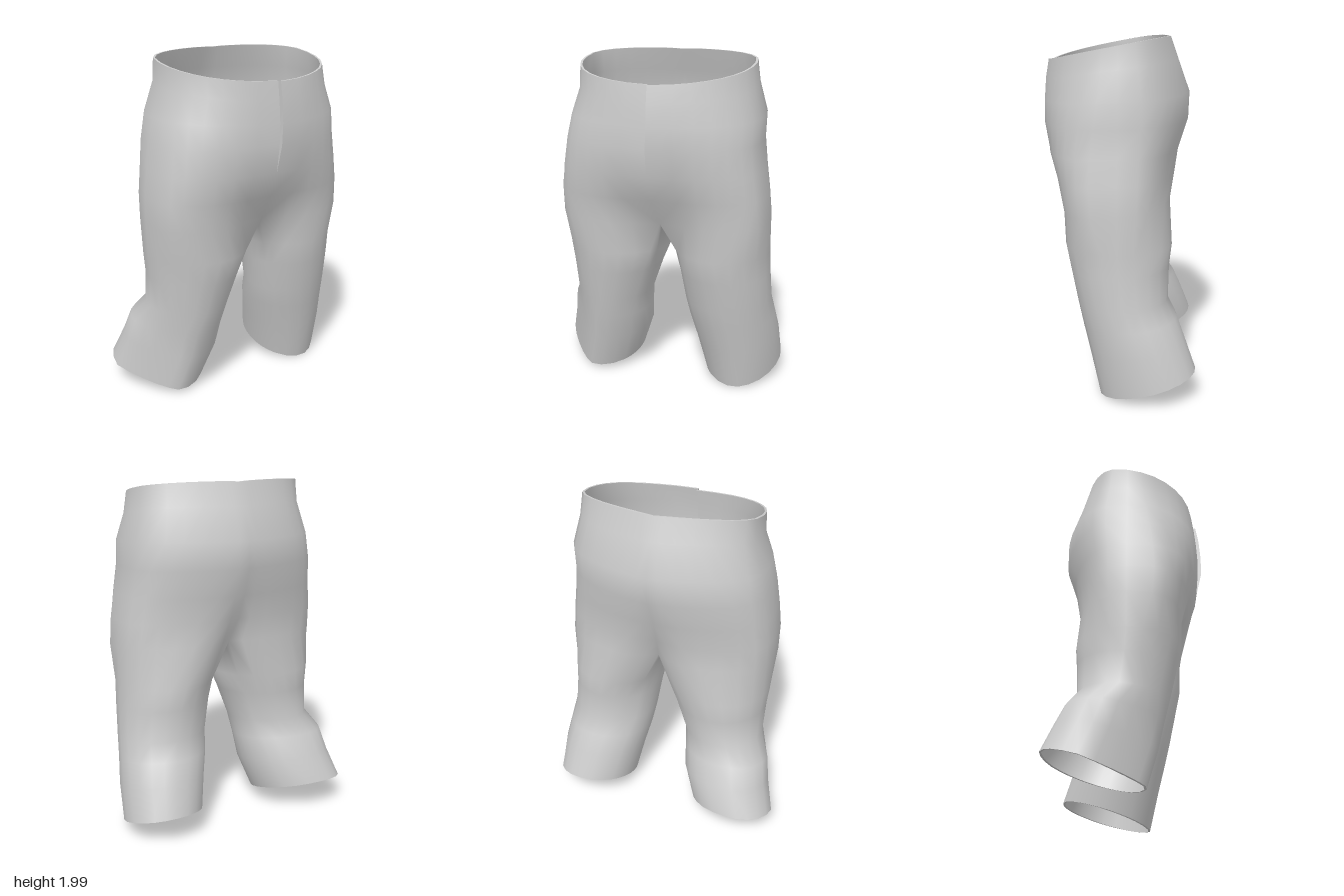
import * as THREE from 'three';
import { mergeVertices } from 'three/addons/utils/BufferGeometryUtils.js';

const M = 16; // columns around the outside of each half
const K = 8; // columns along the inner leg
const material = new THREE.MeshStandardMaterial({ color: 0xcccccc, side: THREE.DoubleSide });

// Hip rows: y front, y back, outer x right, outer x left, z front, z back,
// centre x, front valley, back valley, front roundness, fly height
const hipRows = [
  [1.865, 1.99, -0.49, 0.53, 0.39, -0.29, 0.02, 0, 0, 0.95, 0.025],
  [1.76, 1.86, -0.49, 0.545, 0.405, -0.335, 0.02, 0, 0, 0.92, 0.028],
  [1.64, 1.68, -0.54, 0.59, 0.415, -0.40, 0.02, 0, 0, 0.82, 0.027],
  [1.52, 1.53, -0.565, 0.585, 0.42, -0.40, 0.015, 0, 0.005, 0.72, 0.022],
  [1.36, 1.37, -0.585, 0.605, 0.405, -0.355, 0.01, 0, 0.02, 0.62, 0],
  [1.21, 1.23, -0.60, 0.625, 0.365, -0.34, 0.015, 0.03, 0.06, 0.53, 0],
  [1.04, 1.09, -0.60, 0.64, 0.33, -0.325, 0.035, 0.10, 0.12, 0.52, 0],
];

// Leg rows: y front, y back, outer x, inner x, z front, z back, inner wrap angle,
// backward skew of the outside, pinch of the outer front corner
const legRows = {
  right: [
    [0.86, 0.86, -0.59, 0.03, 0.295, -0.30, 0.9, 0, 0],
    [0.72, 0.74, -0.575, -0.025, 0.265, -0.29, 0.88, 0, 0],
    [0.53, 0.56, -0.57, -0.09, 0.225, -0.28, 0.85, 0.01, 0.05],
    [0.40, 0.46, -0.635, -0.105, 0.195, -0.33, 0.8, 0.05, 0.25],
    [0.24, 0.34, -0.66, -0.12, 0.16, -0.385, 0.78, 0.05, 0.32],
    [0.02, 0.18, -0.71, -0.19, 0.10, -0.44, 0.78, 0.06, 0.4],
  ],
  left: [
    [0.86, 0.86, 0.64, 0.075, 0.295, -0.30, 0.9, 0, 0],
    [0.72, 0.74, 0.645, 0.105, 0.265, -0.285, 0.88, 0, 0],
    [0.53, 0.56, 0.655, 0.135, 0.225, -0.28, 0.85, 0.01, 0],
    [0.40, 0.46, 0.67, 0.155, 0.195, -0.33, 0.8, 0.02, 0],
    [0.24, 0.34, 0.69, 0.19, 0.155, -0.375, 0.78, 0.03, 0],
    [0.00, 0.17, 0.70, 0.235, 0.10, -0.435, 0.78, 0.04, 0.05],
  ],
};

// Point on the hips: j = 0 is the front centre, j = M the back centre
function hipPoint(row, side, j) {
  const [yF, yB, xR, xL, zF, zB, x0, vF, vB, round, fly] = row;
  const t = (Math.PI * j) / M;
  const c = Math.cos(t), s = Math.max(0, Math.sin(t));
  const xo = side > 0 ? xL : xR;
  const x = x0 + (xo - x0) * Math.pow(s, c > 0 ? 0.85 : 1.4);
  let z = c > 0
    ? zF * Math.pow(c, round) - vF * c ** 24
    : zB * Math.pow(-c, 0.7) + vB * c ** 24;
  const y = THREE.MathUtils.mapLinear(z, zF, zB, yF, yB) + (yB - yF) * 0.15 * s;
  // The left front overlaps as a raised fly
  if (side > 0) z += fly * Math.max(0, 1 - j / 2.5);
  return new THREE.Vector3(x, y, z);
}

function hipHalf(row, side) {
  return Array.from({ length: M + 1 }, (_, j) => hipPoint(row, side, j));
}

// Closed leg ring: M columns outside, K columns inside
function legRing([yF, yB, xo, xi, zF, zB, a, skew, pinch]) {
  const ring = [];
  for (let j = 0; j < M + K; j++) {
    const phi = j <= M
      ? -a + ((Math.PI + 2 * a) * j) / M
      : Math.PI + a + ((Math.PI - 2 * a) * (j - M)) / K;
    const s = Math.sin(phi), c = Math.cos(phi);
    const outside = Math.max(0, s);
    const z = (zF + zB) / 2 + ((zF - zB) / 2) * c - skew * outside;
    const y = THREE.MathUtils.mapLinear(z, zF, zB, yF, yB);
    const reach = s - pinch * outside * Math.max(0, c);
    ring.push(new THREE.Vector3((xo + xi) / 2 + ((xo - xi) / 2) * reach, y, z));
  }
  return ring;
}

// Crotch ring: outside half of the lowest hip row closed by the seam between the legs
function crotchRing(side) {
  const ring = hipHalf(hipRows[hipRows.length - 1], side);
  const front = ring[0], back = ring[M];
  for (let k = 1; k < K; k++) {
    const p = back.clone().lerp(front, k / K);
    p.y -= 0.05 * Math.sin((Math.PI * k) / K);
    ring.push(p);
  }
  return ring;
}

// Triangles between successive rows of points
function loft(rows, closed, flip, out = []) {
  for (let i = 0; i < rows.length - 1; i++) {
    const n = rows[i].length;
    for (let j = 0; j < (closed ? n : n - 1); j++) {
      const k = (j + 1) % n;
      const a = rows[i][j], b = rows[i][k], c = rows[i + 1][j], d = rows[i + 1][k];
      const tris = flip ? [a, b, c, b, d, c] : [a, c, b, b, c, d];
      for (const p of tris) out.push(p.x, p.y, p.z);
    }
  }
  return out;
}

function toMesh(name, positions) {
  let geometry = new THREE.BufferGeometry();
  geometry.setAttribute('position', new THREE.Float32BufferAttribute(positions, 3));
  geometry = mergeVertices(geometry, 1e-4);
  geometry.computeVertexNormals();
  const mesh = new THREE.Mesh(geometry, material);
  mesh.name = name;
  return mesh;
}

// Narrow fold turned into an opening
function foldedEdge(name, ring, flip) {
  const centre = ring.reduce((s, p) => s.add(p), new THREE.Vector3()).divideScalar(ring.length);
  const inner = ring.map((p) => {
    const dir = centre.clone().sub(p).setY(0).normalize();
    return p.clone().addScaledVector(dir, 0.012);
  });
  return toMesh(name, loft([ring, inner], true, flip));
}

export function createModel() {
  const group = new THREE.Group();
  group.name = 'shorts';

  // Hips and legs as one smooth cloth surface
  const cloth = [];
  for (const side of [1, -1]) {
    const name = side > 0 ? 'left' : 'right';
    const rings = [crotchRing(side), ...legRows[name].map(legRing)];
    loft(hipRows.map((r) => hipHalf(r, side)), false, side < 0, cloth);
    loft(rings, true, side < 0, cloth);
    group.add(foldedEdge(name + 'LegHem', rings[rings.length - 1], side < 0));
  }
  group.add(toMesh('hipsAndLegs', cloth));

  // Waist edge
  const waist = [
    ...hipHalf(hipRows[0], 1),
    ...hipHalf(hipRows[0], -1).slice(0, M).reverse(),
  ];
  group.add(foldedEdge('waistEdge', waist, true));

  // Step where the raised fly meets the other side
  const step = hipRows.slice(0, 5).map((r) => [hipPoint(r, -1, 0), hipPoint(r, 1, 0)]);
  group.add(toMesh('flyEdge', loft(step, false, false)));

  return group;
}
